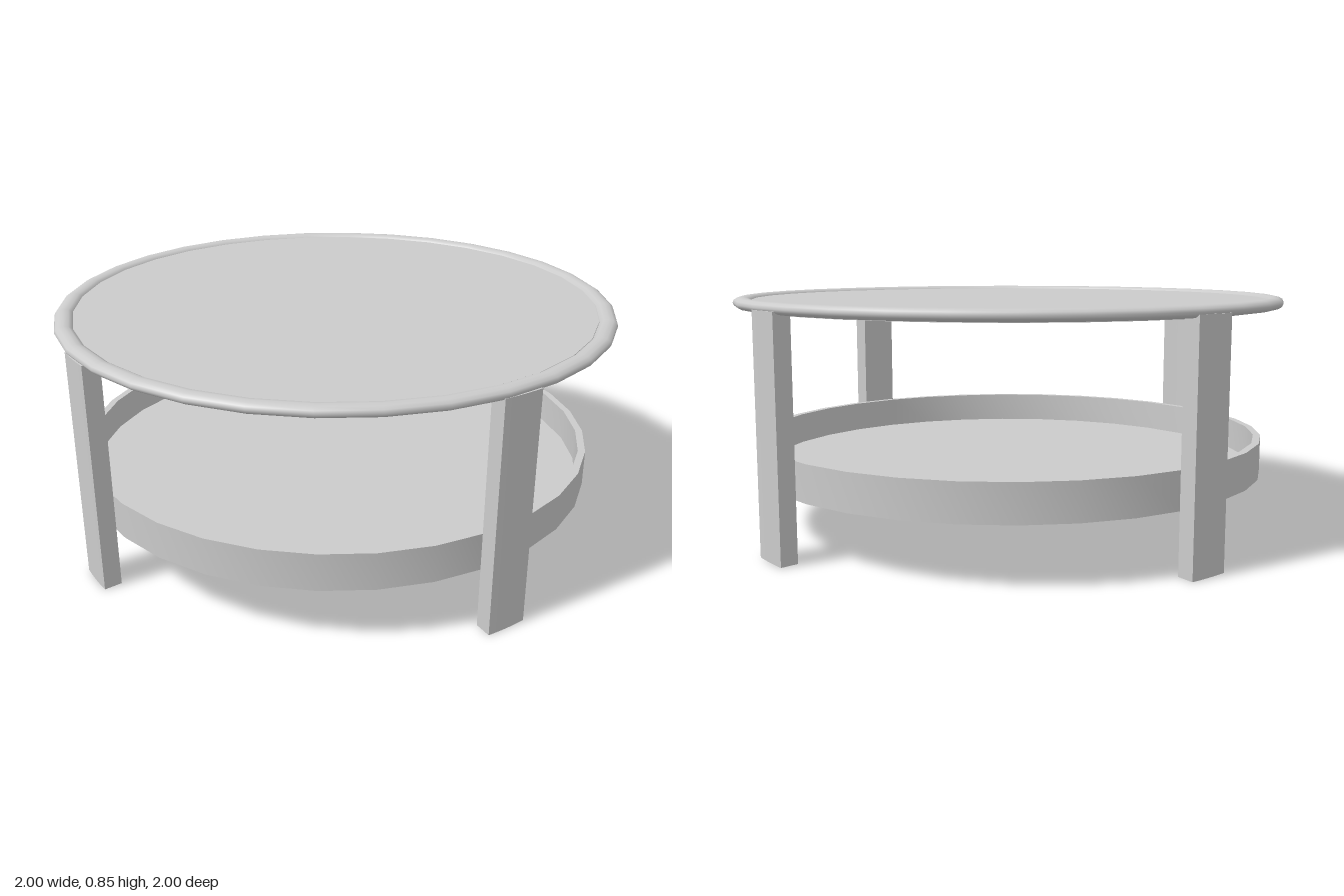
import * as THREE from 'three';
import { toCreasedNormals } from 'three/addons/utils/BufferGeometryUtils.js';

const SEGMENTS = 32;
const material = new THREE.MeshStandardMaterial({ color: 0xcccccc });

function addMesh(parent, name, geometry) {
  const mesh = new THREE.Mesh(geometry, material);
  mesh.name = name;
  parent.add(mesh);
  return mesh;
}

// Closed ring or solid turned from [radius, height] points, with crisp edges.
function turned(points, crease = 0.7) {
  const profile = points.map(([r, y]) => new THREE.Vector2(r, y));
  return toCreasedNormals(new THREE.LatheGeometry(profile, SEGMENTS), crease);
}

export function createModel() {
  const table = new THREE.Group();
  table.name = 'roundTable';

  // Table top: a thin disc set just below the crest of its rim
  addMesh(table, 'topPanel', turned([[0, 0.803], [0.936, 0.803], [0.936, 0.836], [0, 0.836]]));

  // Rounded rim with an oval section
  const oval = [];
  for (let i = 0; i <= 12; i++) {
    const a = (i / 12) * Math.PI * 2;
    oval.push([0.967 + 0.033 * Math.cos(a), 0.827 + 0.02 * Math.sin(a)]);
  }
  addMesh(table, 'topRim', turned(oval, 1.2));

  // Lower shelf: a shallow tray with a thin upright wall
  addMesh(table, 'shelfTray', turned([
    [0, 0.21], [0.936, 0.21], [0.936, 0.34], [0.91, 0.34], [0.91, 0.225], [0, 0.225],
  ]));

  // Four curved legs that follow the outer edge of the top
  const legs = new THREE.Group();
  legs.name = 'legs';
  const centre = THREE.MathUtils.degToRad(228.2);
  const half = THREE.MathUtils.degToRad(4.25);
  const section = new THREE.Shape();
  section.absarc(0, 0, 0.998, centre - half, centre + half, false);
  section.absarc(0, 0, 0.935, centre + half, centre - half, true);
  section.closePath();
  const legGeometry = toCreasedNormals(
    new THREE.ExtrudeGeometry(section, { depth: 0.82, bevelEnabled: false, curveSegments: 4 })
      .rotateX(-Math.PI / 2), 0.7);
  for (let i = 0; i < 4; i++) {
    addMesh(legs, 'leg', legGeometry).rotation.y = (i * Math.PI) / 2;
  }
  table.add(legs);

  return table;
}
